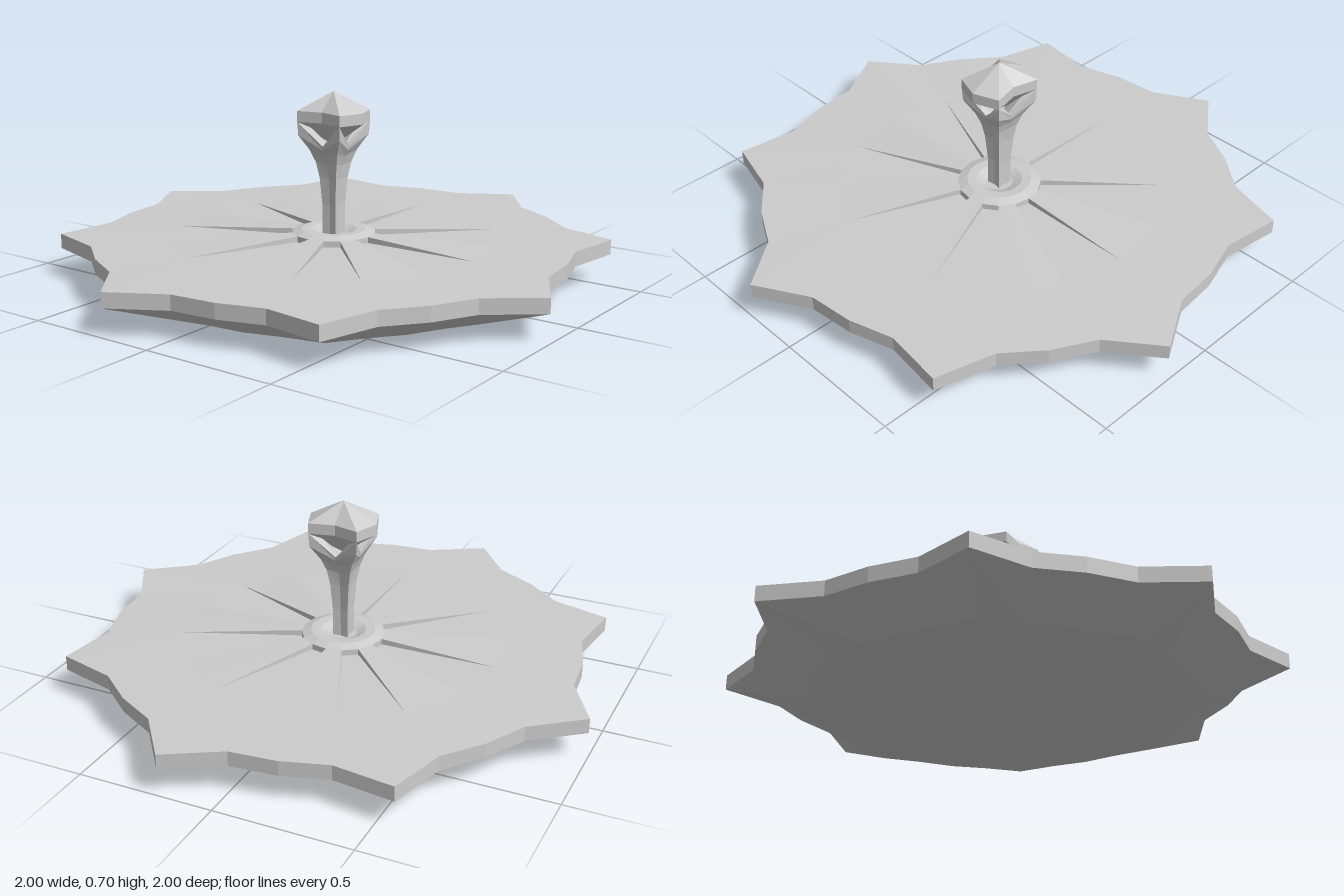
import * as THREE from 'three';

const stone = new THREE.MeshStandardMaterial({ color: 0xcccccc });
stone.name = 'pale grey';

const polar = (r, deg, y) => {
  const a = THREE.MathUtils.degToRad(deg);
  return [r * Math.cos(a), y, r * Math.sin(a)];
};

// Ring of n points; radius and height may be functions of the index
const ring = (n, r, y) => Array.from({ length: n }, (_, i) =>
  polar(typeof r === 'function' ? r(i) : r, (i * 360) / n, typeof y === 'function' ? y(i) : y));

// Faceted skin joining successive cross-sections
function loft(name, sections, closed = true) {
  const pos = [];
  for (let s = 0; s < sections.length - 1; s++) {
    const lo = sections[s], hi = sections[s + 1], n = lo.length;
    for (let i = 0; i < (closed ? n : n - 1); i++) {
      const j = (i + 1) % n;
      pos.push(...lo[i], ...hi[i], ...hi[j], ...lo[i], ...hi[j], ...lo[j]);
    }
  }
  const g = new THREE.BufferGeometry();
  g.setAttribute('position', new THREE.Float32BufferAttribute(pos, 3));
  g.computeVertexNormals();
  const mesh = new THREE.Mesh(g, stone);
  mesh.name = name;
  return mesh;
}

export function createModel() {
  const model = new THREE.Group();
  model.name = 'starDishWithGem';

  // Eight-pointed plate with a bevelled underside
  const star = (tip, valley) => (i) => (i % 4 === 1 ? tip : valley);
  const rim = star(1.018, 0.885);
  model.add(loft('starPlate', [
    ring(32, 0, 0),
    ring(32, star(0.74, 0.7), 0),
    ring(32, rim, 0.1),
    ring(32, rim, 0.155),
    ring(32, 0.6, 0.16),
    ring(32, 0.15, 0.156),
    ring(32, 0, 0.156),
  ]));

  // Raised blades between the star points, rising towards the hub
  for (let k = 0; k < 8; k++) {
    const a = k * 45 + 22.5, b = a + 11.25, c = a + 22.5;
    const section = (r, low, high) => [
      polar(r, a, low), polar(r, a, high), polar(r, b, high), polar(r, c, high), polar(r, c, low),
    ];
    model.add(loft('raisedBlade', [section(0.6, 0.16, 0.16), section(0.15, 0.156, 0.178)], false));
  }

  // Hub ring, dished around the stem
  model.add(loft('hub', [
    ring(16, 0.155, 0.15), ring(16, 0.155, 0.178), ring(16, 0.12, 0.19),
    ring(16, 0.085, 0.188), ring(16, 0.05, 0.172), ring(16, 0, 0.17),
  ]));

  // Fluted stem flaring into four prongs: [corner radius, side radius, corner y, side y]
  const fluted = ([corner, side, cy, sy]) =>
    ring(8, (i) => (i % 2 ? corner : side), (i) => (i % 2 ? cy : sy));
  model.add(loft('stem', [
    [0.042, 0.024, 0.16, 0.16],
    [0.042, 0.024, 0.28, 0.28],
    [0.052, 0.03, 0.38, 0.38],
    [0.066, 0.038, 0.44, 0.43],
    [0.088, 0.05, 0.485, 0.465],
    [0.13, 0.065, 0.54, 0.49],
    [0.134, 0.068, 0.59, 0.505],
    [0.1, 0.045, 0.59, 0.505],
    [0, 0, 0.48, 0.48],
  ].map(fluted)));

  // Cut gem, wider from side to side and pinched front and back
  const outline = [[0.13, 0], [0.095, 0.095], [0, 0.072], [-0.095, 0.095],
    [-0.13, 0], [-0.095, -0.095], [0, -0.072], [0.095, -0.095]];
  const cut = (scale, y) => outline.map(([x, z]) => [x * scale, y, z * scale]);
  model.add(loft('gem', [cut(0, 0.5), cut(1, 0.59), cut(1, 0.63), cut(0, 0.7)]));

  return model;
}
